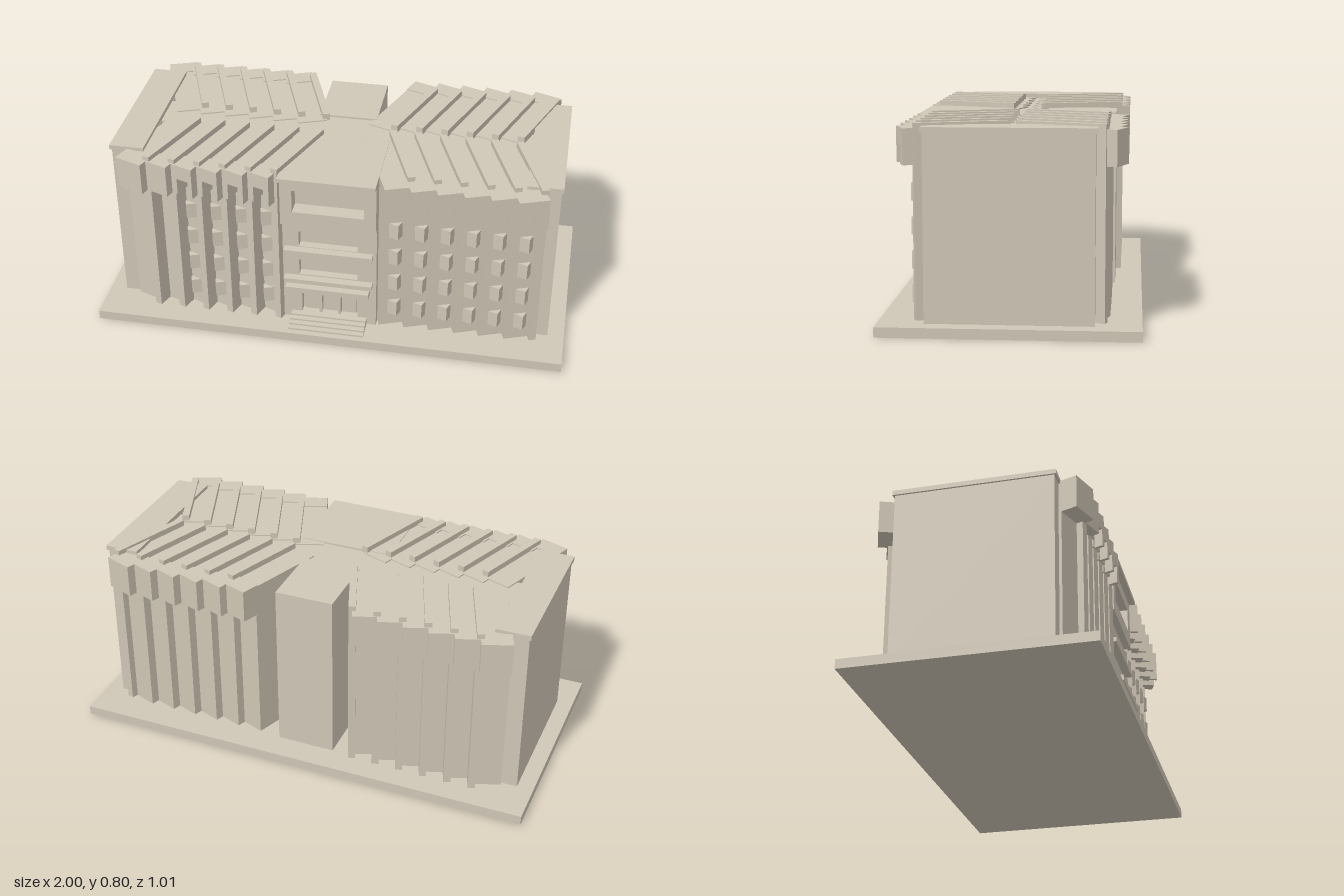
import * as THREE from 'three';

const stone = new THREE.MeshStandardMaterial({ color: 0xcfc6b5 });
stone.name = 'stone';

function add(parent, geo, name) {
  const m = new THREE.Mesh(geo, stone);
  m.name = name;
  parent.add(m);
  return m;
}

// Box given by its minimum and maximum on each axis
function block(parent, name, x0, x1, y0, y1, z0, z1) {
  const m = add(parent, new THREE.BoxGeometry(x1 - x0, y1 - y0, z1 - z0), name);
  m.position.set((x0 + x1) / 2, (y0 + y1) / 2, (z0 + z1) / 2);
  return m;
}

function polygon(points) {
  return new THREE.Shape(points.map(p => new THREE.Vector2(...p)));
}

// Upright slab with rectangular openings [x0, x1, y0, y1]
function facade(parent, name, x0, x1, y0, y1, z0, z1, openings) {
  const s = polygon([[x0, y0], [x1, y0], [x1, y1], [x0, y1]]);
  for (const [a, b, c, d] of openings) {
    s.holes.push(polygon([[a, c], [a, d], [b, d], [b, c]]));
  }
  const g = new THREE.ExtrudeGeometry(s, { depth: z1 - z0, bevelEnabled: false });
  add(parent, g, name).position.z = z0;
}

const ANGLE = Math.atan(0.37);
const PITCH = 0.107;
const W = 0.125;      // bay width
const INSET = 0.07;   // wall set back below the parapet
const FIN = 0.37;     // fin length

// One slanted bay; local +z is its outward face
function bay(parent, sx, sz, i, hasWindows) {
  const g = new THREE.Group();
  g.name = 'bay';
  g.position.set(sx * (0.831 - PITCH * i), 0, sz * 0.425);
  g.rotation.y = Math.atan2(sx * Math.sin(ANGLE), sz * Math.cos(ANGLE));
  parent.add(g);
  const h = W / 2, inward = -sx * sz;

  block(g, 'bayWall', -h, h, 0.04, 0.775, -0.42, -INSET);

  if (!hasWindows) {
    block(g, 'parapet', -h, h, 0.64, 0.78, -INSET - 0.01, 0);
    return;
  }

  // Overhanging parapet, notched underneath
  const c = inward * 0.018, n = 0.03;
  const s = polygon([[-h, 0.64], [c - n, 0.64], [c - n, 0.715], [c + n, 0.715],
    [c + n, 0.64], [h, 0.64], [h, 0.78], [-h, 0.78]]);
  const parapet = add(g, new THREE.ExtrudeGeometry(s, { depth: INSET + 0.01, bevelEnabled: false }), 'parapet');
  parapet.position.z = -INSET - 0.01;

  // Angled window boxes, one per storey
  for (let k = 0; k < 4; k++) {
    const w = add(g, new THREE.BoxGeometry(0.064, 0.07, 0.055), 'windowBox');
    w.position.set(0, 0.135 + k * 0.132, -INSET - 0.014);
    w.rotation.y = -2 * sx * ANGLE;
  }
}

function wing(parent, name, sx, sz) {
  const g = new THREE.Group();
  g.name = name;
  parent.add(g);
  for (let i = 0; i < 6; i++) {
    bay(g, sx, sz, i, sz > 0 && (sx > 0 || i > 1));
    // Slanted fin wall, rising from the ground to just above the roof
    const zIn = sx > 0 ? 0.02 : 0.06;
    const xIn = (sx > 0 ? 0.74 : 0.63) - PITCH * i;
    const fin = add(g, new THREE.BoxGeometry(0.03, 0.76, FIN), 'fin');
    fin.position.set(sx * (xIn + Math.sin(ANGLE) * FIN / 2), 0.42, sz * (zIn + Math.cos(ANGLE) * FIN / 2));
    fin.rotation.y = Math.atan2(sx * Math.sin(ANGLE), sz * Math.cos(ANGLE));
  }
}

function entrance(parent) {
  const g = new THREE.Group();
  g.name = 'entranceBlock';
  parent.add(g);
  block(g, 'entranceCore', -0.2, 0.2, 0.04, 0.77, 0.05, 0.35);
  facade(g, 'entranceFacade', -0.2, 0.2, 0.04, 0.77, 0.35, 0.385, [
    [-0.12, 0.12, 0.07, 0.208],
    [-0.13, 0.12, 0.27, 0.345],
    [-0.13, 0.12, 0.415, 0.49],
    [-0.15, 0.15, 0.605, 0.71],
  ]);
  facade(g, 'upperFrame', -0.2, 0.2, 0.54, 0.77, 0.385, 0.415, [[-0.15, 0.15, 0.605, 0.71]]);
  block(g, 'roofSlab', -0.205, 0.2, 0.76, 0.778, 0.07, 0.442);

  // Ledges and canopy
  for (const y of [0.245, 0.392]) block(g, 'ledge', -0.19, 0.185, y, y + 0.02, 0.38, 0.42);
  block(g, 'canopy', -0.18, 0.175, 0.215, 0.24, 0.38, 0.445);

  // Doors and dividers
  for (const x of [-0.08, 0, 0.08]) block(g, 'door', x - 0.03, x + 0.03, 0.07, 0.185, 0.349, 0.357);
  for (const x of [-0.04, 0.04]) block(g, 'doorPost', x - 0.006, x + 0.006, 0.07, 0.208, 0.35, 0.38);

  // Front steps
  for (let i = 0; i < 4; i++) {
    block(g, 'step', -0.165, 0.16, 0.04, 0.048 + i * 0.008, 0.36, 0.48 - i * 0.023);
  }
}

export function createModel() {
  const model = new THREE.Group();
  model.name = 'building';

  block(model, 'base', -1, 1, 0, 0.04, -0.505, 0.505);
  block(model, 'core', -0.8, 0.8, 0.04, 0.77, -0.1, 0.07);
  block(model, 'rearTower', -0.13, 0.12, 0.04, 0.778, -0.39, -0.09);

  // End walls with thin caps
  for (const s of [-1, 1]) {
    const end = block(model, 'endBlock', -0.07, 0.07, 0.04, 0.77, -0.325, 0.325);
    end.position.x = s * 0.86;
    const cap = block(model, 'endCap', -0.073, 0.073, 0.77, 0.79, -0.333, 0.333);
    cap.position.x = s * 0.865;
  }

  wing(model, 'frontLeftWing', 1, 1);
  wing(model, 'frontRightWing', -1, 1);
  wing(model, 'backLeftWing', 1, -1);
  wing(model, 'backRightWing', -1, -1);
  entrance(model);
  return model;
}
